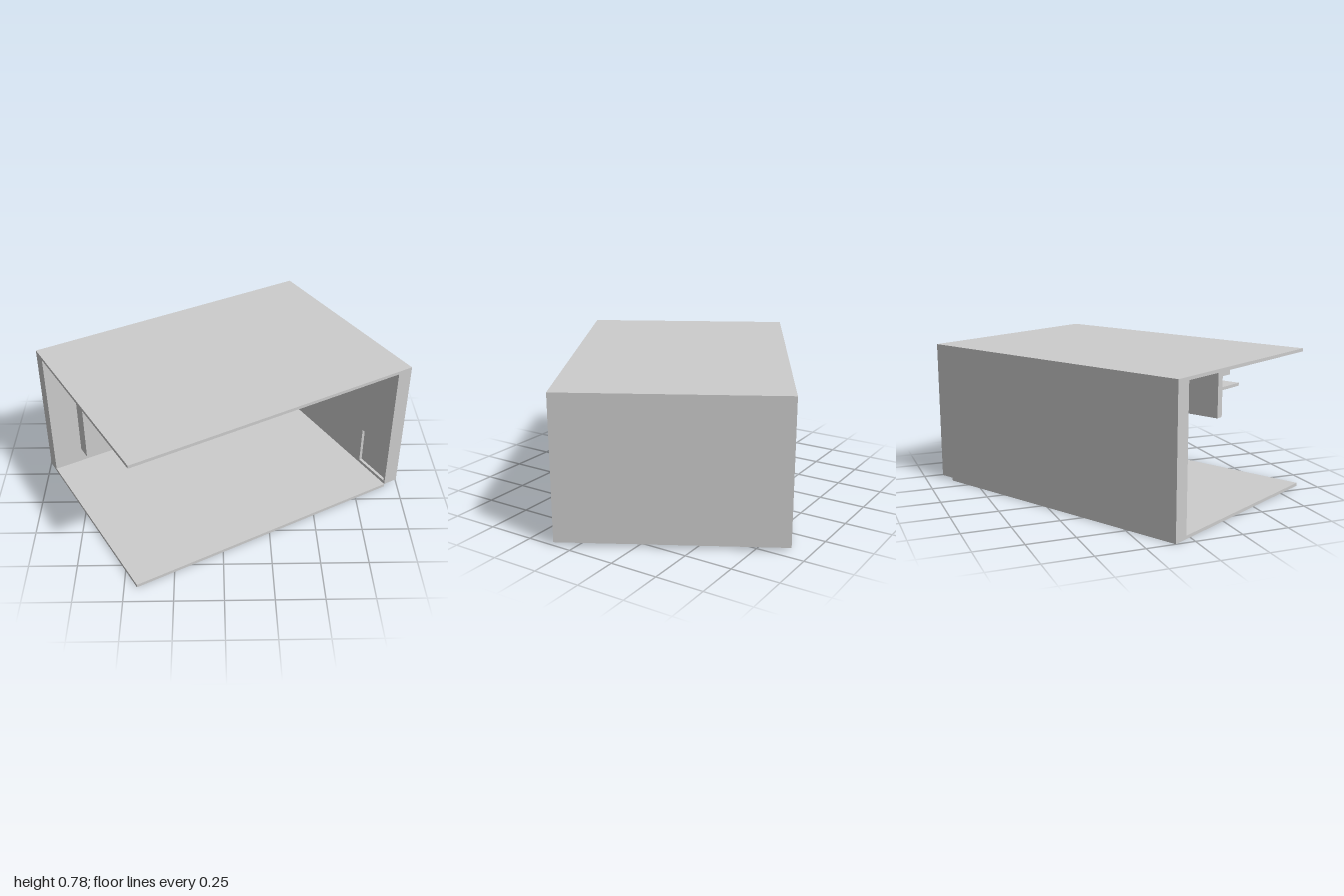
import * as THREE from 'three';

export function createModel() {
  const model = new THREE.Group();
  model.name = 'openRoom';
  const plaster = new THREE.MeshStandardMaterial({ color: 0xcccccc });
  plaster.name = 'plain grey';

  // The whole room is turned about the vertical axis
  const room = new THREE.Group();
  room.name = 'room';
  room.rotation.y = 0.511;
  model.add(room);

  const W = 0.8225, D = 0.5765, H = 0.775; // half width, half depth, height
  const slab = 0.017, wall = 0.084;
  const inner = W - wall, backFace = -D + wall;

  // Box given by its extents on each axis
  function block(name, [x0, x1], [y0, y1], [z0, z1]) {
    const mesh = new THREE.Mesh(new THREE.BoxGeometry(x1 - x0, y1 - y0, z1 - z0), plaster);
    mesh.position.set((x0 + x1) / 2, (y0 + y1) / 2, (z0 + z1) / 2);
    mesh.name = name;
    room.add(mesh);
  }

  // Shell: floor and ceiling slabs, back wall, outer layer of the side wall
  block('floor', [-W, inner], [0, slab], [-D, D]);
  block('ceiling', [-W, inner], [H - slab, H], [-D, D]);
  block('backWall', [-W, inner], [slab, H - slab], [-D, backFace]);
  const niche = 0.017;
  block('sideWallOuter', [inner + niche, W], [slab, H], [-D, D]);

  // Inner layer of the side wall with a shallow square niche near the front
  const rect = (target, x0, x1, y0, y1) => {
    target.moveTo(x0, y0).lineTo(x1, y0).lineTo(x1, y1).lineTo(x0, y1).closePath();
    return target;
  };
  const face = rect(new THREE.Shape(), -D, D, slab, H);
  face.holes.push(rect(new THREE.Path(), -0.567, -0.342, 0.035, 0.25));
  const layer = new THREE.ExtrudeGeometry(face, { depth: niche, bevelEnabled: false });
  layer.rotateY(Math.PI / 2);
  const lining = new THREE.Mesh(layer, plaster);
  lining.position.x = inner;
  lining.name = 'sideWallLining';
  room.add(lining);

  // Two raised panels on the back wall
  for (const x of [-0.66, 0.082])
    block('wallPanel', [x, x + 0.49], [0.1, 0.43], [backFace, backFace + 0.085]);

  // Hanging partition with a deeper header and a projecting shelf
  block('hangingBoard', [-0.66, 0.487], [0.467, 0.68], [0, 0.04]);
  block('header', [-0.66, 0.487], [0.68, H - slab], [0, 0.106]);
  block('shelf', [-0.627, 0.445], [0.595, 0.611], [0.04, 0.25]);

  return model;
}
